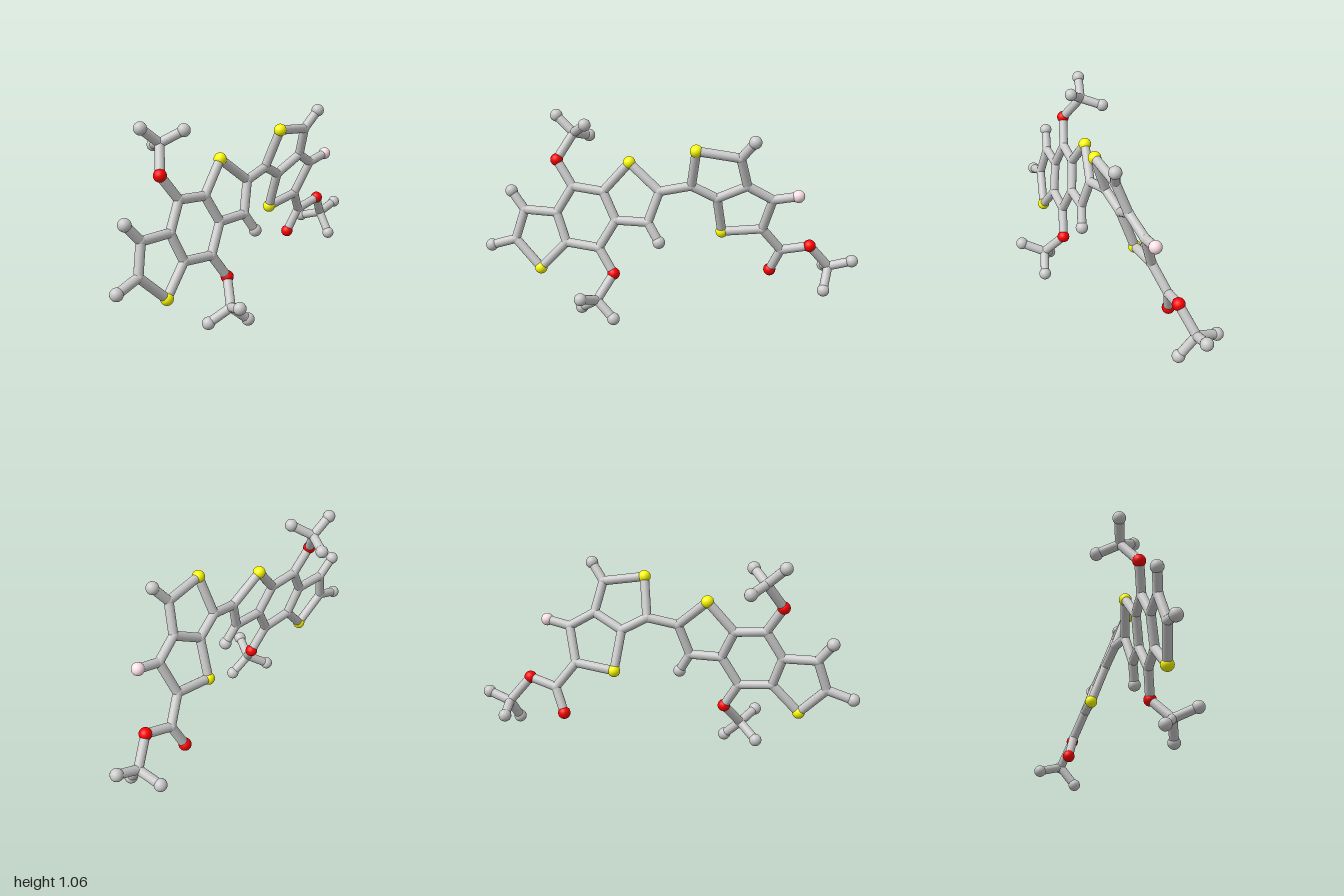
import * as THREE from 'three';

const BOND_R = 0.024, BALL_R = 0.033, JOINT_R = 0.026;

// Tilted planes in which the two fused ring systems lie: z from x, y
const wide = (x, y) => 0.157 + 0.146 * x - 0.192 * y;
const small = (x, y) => -0.248 + 0.075 * x + 0.357 * y;

const materials = {
  grey: new THREE.MeshStandardMaterial({ color: 0xcccccc }),
  yellow: new THREE.MeshStandardMaterial({ color: 0xffff00 }),
  red: new THREE.MeshStandardMaterial({ color: 0xff0000 }),
  pink: new THREE.MeshStandardMaterial({ color: 0xffe1ea }),
};

// Atom kinds: [part name, material, radius]
const kinds = {
  C: ['carbonJoint', 'grey', JOINT_R],
  E: ['endBall', 'grey', BALL_R],
  S: ['sulfurBall', 'yellow', BALL_R],
  O: ['oxygenBall', 'red', BALL_R],
  F: ['fluorineBall', 'pink', BALL_R],
};

// id: [kind, x, y, z or plane]
const wideRings = {
  a1: ['S', -0.69, 0.243, wide], a2: ['C', -0.83, 0.387, wide], a3: ['C', -0.78, 0.545, wide],
  a4: ['C', -0.603, 0.541, wide], a5: ['C', -0.55, 0.388, wide],
  b1: ['C', -0.517, 0.682, wide], b2: ['C', -0.352, 0.665, wide],
  b3: ['C', -0.283, 0.52, wide], b4: ['C', -0.373, 0.371, wide],
  c1: ['S', -0.213, 0.82, wide], c2: ['C', -0.053, 0.682, wide], c3: ['C', -0.112, 0.52, wide],
  e1: ['E', -0.965, 0.345, wide], e2: ['E', -0.853, 0.639, wide], e3: ['E', -0.053, 0.42, wide],
};
const upperArm = {
  o1: ['O', -0.603, 0.815, -0.088], m1: ['C', -0.52, 0.945, -0.158],
  h1: ['E', -0.615, 1.03, -0.192], h2: ['E', -0.448, 1.007, -0.066], h3: ['E', -0.453, 0.91, -0.258],
};
const lowerArm = {
  o2: ['O', -0.293, 0.24, 0.067], m2: ['C', -0.373, 0.122, 0.15],
  h4: ['E', -0.443, 0.167, 0.257], h5: ['E', -0.464, 0.05, 0.079], h6: ['E', -0.283, 0.035, 0.19],
};
const smallRings = {
  d1: ['C', 0.112, 0.714, small], d2: ['S', 0.139, 0.917, small], d3: ['C', 0.363, 0.885, small],
  d4: ['C', 0.4, 0.725, small], d5: ['C', 0.245, 0.645, small],
  f1: ['C', 0.533, 0.65, small], f2: ['C', 0.485, 0.468, small], f3: ['S', 0.272, 0.441, small],
  e4: ['E', 0.432, 0.976, small], e5: ['F', 0.661, 0.676, small],
};
const sideArm = {
  g1: ['C', 0.587, 0.34, -0.083], o3: ['O', 0.533, 0.211, -0.122], o4: ['O', 0.736, 0.377, -0.05],
  m3: ['C', 0.843, 0.25, -0.09],
  h7: ['E', 0.964, 0.29, -0.066], h8: ['E', 0.816, 0.141, -0.012], h9: ['E', 0.829, 0.21, -0.215],
};

// Chains of bonded atoms, per part
const parts = [
  ['wideRingSystem', wideRings, ['a1 a2 a3 a4 a5 a1', 'a4 b1 b2 b3 b4 a5', 'b2 c1 c2 c3 b3',
    'a2 e1', 'a3 e2', 'c3 e3']],
  ['upperArm', upperArm, ['b1 o1 m1 h1', 'm1 h2', 'm1 h3']],
  ['lowerArm', lowerArm, ['b4 o2 m2 h4', 'm2 h5', 'm2 h6']],
  ['smallRingSystem', smallRings, ['d1 d2 d3 d4 d5 d1', 'd4 f1 f2 f3 d5', 'd3 e4', 'f1 e5', 'c2 d1']],
  ['sideArm', sideArm, ['f2 g1 o3', 'g1 o4 m3 h7', 'm3 h8', 'm3 h9']],
];

const UP = new THREE.Vector3(0, 1, 0);
const rodGeometry = new THREE.CylinderGeometry(BOND_R, BOND_R, 1, 20, 1, true);
const ballGeometry = new THREE.SphereGeometry(1, 24, 16);

function makeBall([kind], position) {
  const [name, colour, radius] = kinds[kind];
  const ball = new THREE.Mesh(ballGeometry, materials[colour]);
  ball.name = name;
  ball.scale.setScalar(radius);
  ball.position.copy(position);
  return ball;
}

function makeRod(a, b) {
  const direction = b.clone().sub(a);
  const rod = new THREE.Mesh(rodGeometry, materials.grey);
  rod.name = 'bondRod';
  rod.scale.y = direction.length();
  rod.position.copy(a).lerp(b, 0.5);
  rod.quaternion.setFromUnitVectors(UP, direction.normalize());
  return rod;
}

export function createModel() {
  const model = new THREE.Group();
  model.name = 'molecule';
  const points = {};

  for (const [name, atoms, chains] of parts) {
    const group = new THREE.Group();
    group.name = name;
    // Balls and joints
    for (const [id, atom] of Object.entries(atoms)) {
      const [, x, y, z] = atom;
      points[id] = new THREE.Vector3(x, y, typeof z === 'function' ? z(x, y) : z);
      group.add(makeBall(atom, points[id]));
    }
    // Rods along each chain
    for (const chain of chains) {
      const ids = chain.split(' ');
      for (let i = 1; i < ids.length; i++) group.add(makeRod(points[ids[i - 1]], points[ids[i]]));
    }
    model.add(group);
  }
  return model;
}
